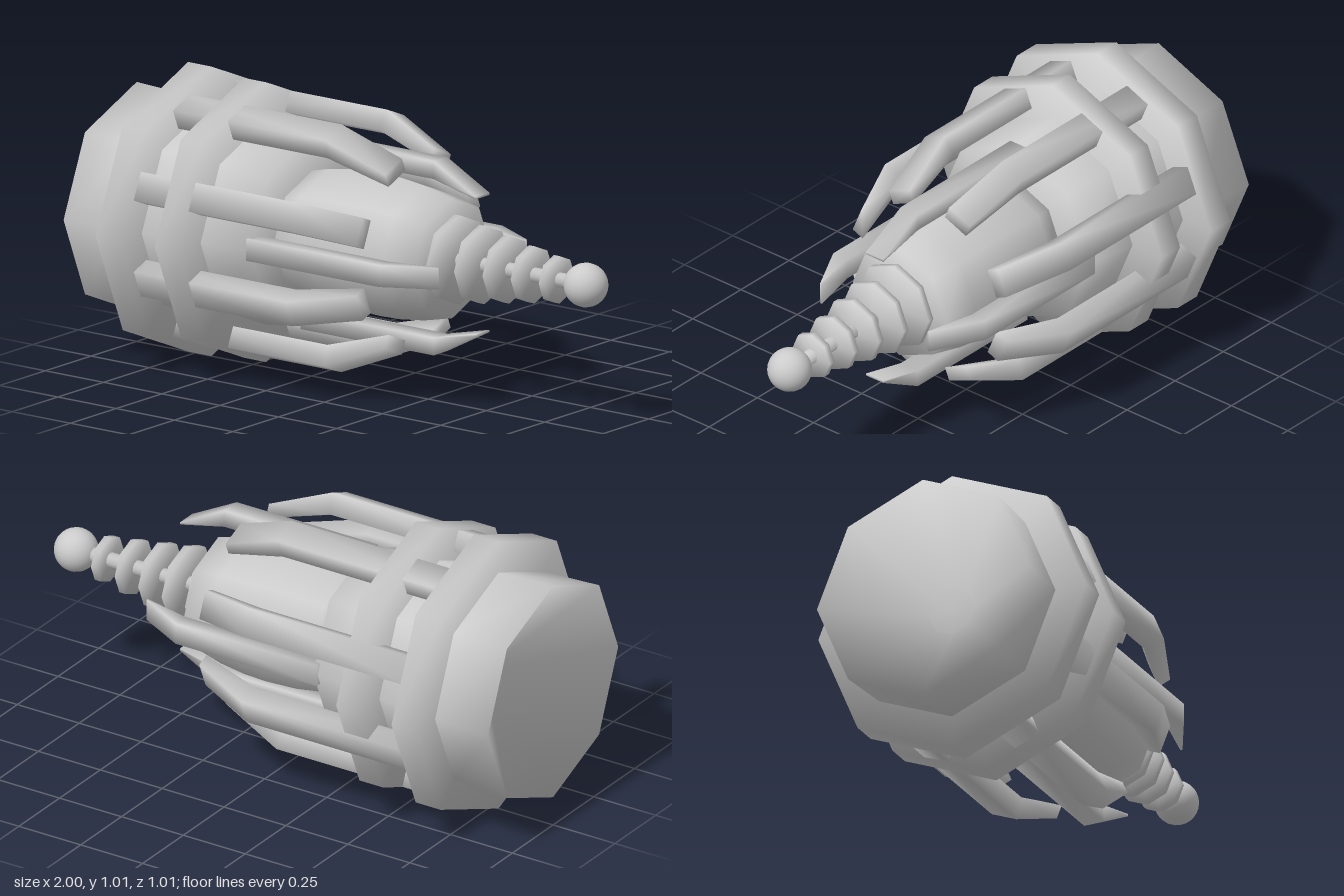
import * as THREE from 'three';
import { toCreasedNormals } from 'three/addons/utils/BufferGeometryUtils.js';

const SOFT = 2.3; // blends normals even across right-angled edges
const AXIS_Y = 0.505;

export function createModel() {
  const model = new THREE.Group();
  const body = new THREE.Group(); // everything is centred on the x axis of this group
  body.name = 'emitter';
  body.position.y = AXIS_Y;
  model.add(body);
  const material = new THREE.MeshStandardMaterial({ color: 0xcccccc });

  function add(name, geometry, z = 0) {
    const mesh = new THREE.Mesh(geometry, material);
    mesh.name = name;
    mesh.position.z = z;
    body.add(mesh);
    return mesh;
  }

  // Octagonal turned part along x, from (radius, x) points
  function turned(name, points, z = 0, sides = 8) {
    const g = new THREE.LatheGeometry(points.map(([r, x]) => new THREE.Vector2(r, x)), sides);
    g.rotateZ(-Math.PI / 2);
    return add(name, toCreasedNormals(g, SOFT), z);
  }

  // Plain solid section along x
  function section(name, x0, x1, r, z = 0, sides = 8) {
    return turned(name, [[0, x0], [r, x0], [r, x1], [0, x1]], z, sides);
  }

  // Bent bars: an (x, radius) outline given a width, repeated around the axis
  function ribs(name, outline, width, count, offset, z) {
    const shape = new THREE.Shape(outline.map(([x, r]) => new THREE.Vector2(x, r)));
    let g = new THREE.ExtrudeGeometry(shape, { depth: width, bevelEnabled: false });
    g.translate(0, 0, -width / 2);
    g = toCreasedNormals(g, SOFT);
    for (let i = 0; i < count; i++) {
      add(name, g, z).rotation.x = offset + (i * 2 * Math.PI) / count;
    }
  }

  // Tapering housing with a hollowed rear end, and its two collars
  turned('housing', [
    [0, -0.72], [0.4, -1], [0.39, -0.78], [0.36, -0.46], [0.333, -0.25], [0, -0.25],
  ]);
  section('rearCollar', -0.78, -0.68, 0.505);
  section('frontCollar', -0.54, -0.445, 0.488);

  // Swelling core with a blunt front
  turned('core', [
    [0, -0.27], [0.205, -0.27], [0.228, -0.18], [0.244, -0.08], [0.25, 0.04],
    [0.247, 0.13], [0.235, 0.23], [0.208, 0.35], [0, 0.35],
  ], -0.004);

  // Eight outer ribs (just breaking through the collar at the back) and four slim prongs
  ribs('outerRib', [
    [-0.72, 0.373], [-0.04, 0.373], [0.2, 0.3], [0.2, 0.348], [-0.03, 0.447], [-0.72, 0.447],
  ], 0.1, 8, Math.PI / 8, -0.008);
  ribs('innerProng', [
    [-0.27, 0.277], [0.3, 0.277], [0.48, 0.235], [0.48, 0.243], [0.3, 0.338], [-0.27, 0.338],
  ], 0.076, 4, 0, -0.004);

  // Rod with shrinking discs and a ball tip
  section('rod', 0.33, 0.88, 0.026, -0.004, 12);
  [0.156, 0.137, 0.118, 0.1, 0.083].forEach((r, i) => {
    const x = 0.37 + i * 0.107;
    section('disc', x - 0.012, x + 0.012, r, -0.004);
  });
  const ball = new THREE.SphereGeometry(0.076, 24, 16);
  ball.rotateZ(-Math.PI / 2);
  ball.translate(0.923, 0, 0);
  add('ballTip', ball, -0.005);

  return model;
}
